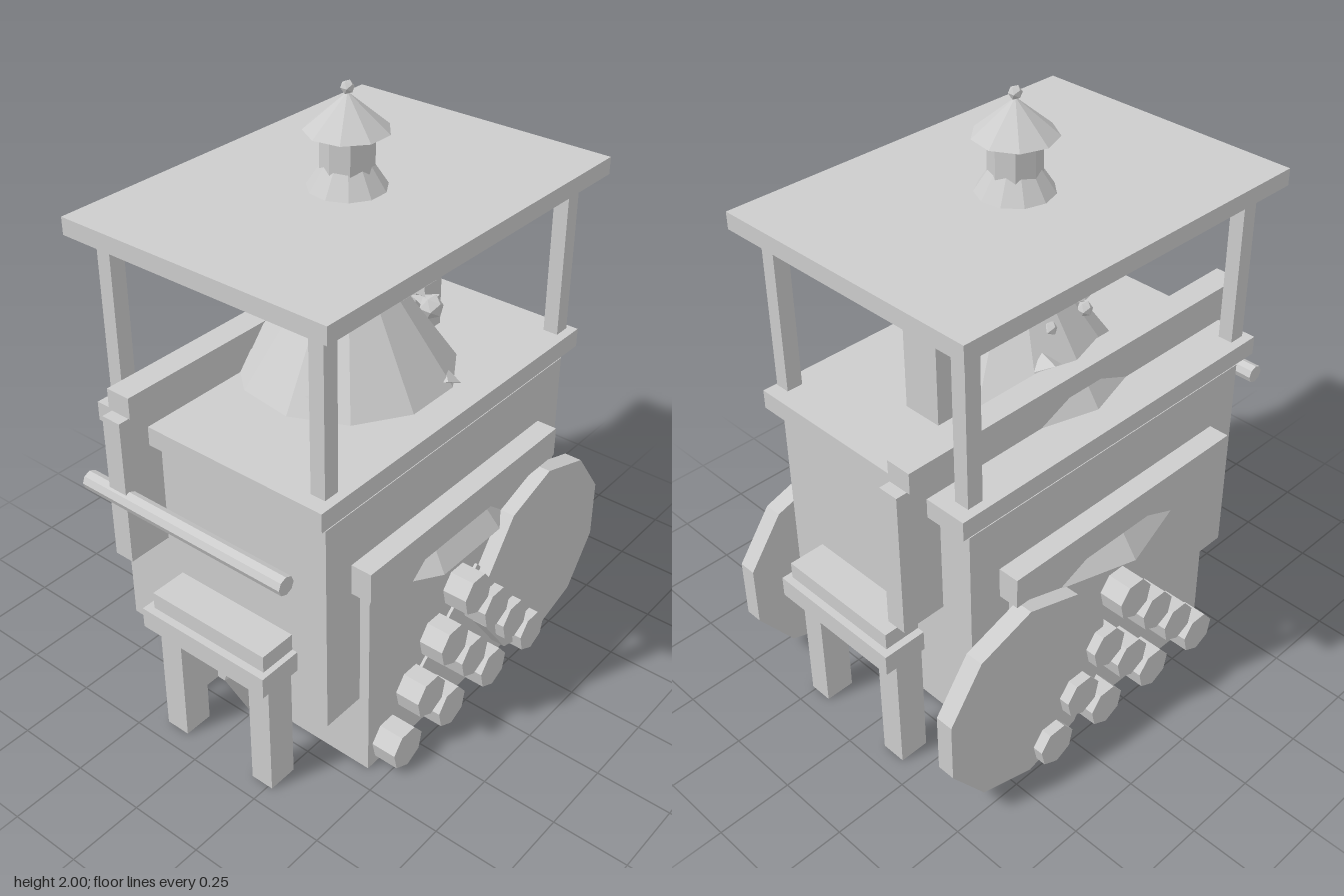
import * as THREE from 'three';

export function createModel() {
  const group = new THREE.Group();
  const grey = new THREE.MeshStandardMaterial({ color: 0xcccccc, flatShading: true });
  grey.name = 'grey';

  const add = (name, geometry, x = 0, y = 0, z = 0) => {
    const mesh = new THREE.Mesh(geometry, grey);
    mesh.name = name;
    mesh.position.set(x, y, z);
    group.add(mesh);
    return mesh;
  };
  // box from its lower and upper limits on each axis
  const box = (name, x0, x1, y0, y1, z0, z1) =>
    add(name, new THREE.BoxGeometry(x1 - x0, y1 - y0, z1 - z0),
      (x0 + x1) / 2, (y0 + y1) / 2, (z0 + z1) / 2);
  // prism lying along z
  const prism = (name, r, length, sides, x, y, z) =>
    add(name, new THREE.CylinderGeometry(r, r, length, sides).rotateX(Math.PI / 2), x, y, z);

  // Stall body, base, counter and roof
  box('base', -0.435, 0.435, 0, 0.71, -0.44, 0.44);
  box('body', -0.585, 0.585, 0.275, 0.997, -0.405, 0.405);
  box('counterSupport', -0.48, 0.48, 1.012, 1.035, -0.35, 0.35);
  box('counter', -0.63, 0.63, 1.03, 1.093, -0.43, 0.43);
  box('roof', -0.652, 0.652, 1.63, 1.685, -0.473, 0.473);
  for (const sx of [-1, 1]) for (const sz of [-1, 1]) {
    const x = sx * 0.565, z = sz * 0.385;
    box('roofPost', x - 0.027, x + 0.027, 1.105, 1.64, z - 0.025, z + 0.025);
  }

  // Tall cross panel with its cap, and the chimney
  box('crossPanel', -0.735, 0.735, 0.667, 1.155, -0.288, -0.22);
  box('panelCap', -0.698, 0.698, 1.155, 1.224, -0.3, -0.215);
  box('chimney', 0.25, 0.383, 1.0, 1.437, -0.068, 0.068);

  // Front and back: ledge, large disc
  for (const s of [-1, 1]) {
    const z = s * 0.44;
    box('ledge', -0.475, 0.472, 0.71, 0.813, z - 0.035, z + 0.035);
    prism('disc', 0.338, 0.06, 10, 0.43, 0.338, s * 0.46);
  }

  // Pyramid of logs running through the base
  for (let row = 0; row < 4; row++) {
    for (let i = 0; i < 4 - row; i++) {
      prism('log', 0.071, 1.05, 7, (i - (3 - row) / 2) * 0.23, 0.073 + row * 0.129, 0);
    }
  }
  // Slanted bar between the logs
  add('slantedBar', new THREE.BoxGeometry(0.46, 0.08, 0.03), -0.05, 0.3, 0.435).rotation.z = 0.7;

  // Pole on the right side
  prism('pole', 0.03, 0.77, 8, -0.722, 0.885, -0.003);

  // Side tables with legs and a pointed leaf between them
  for (const s of [-1, 1]) {
    const side = (name, a, b, y0, y1, z0, z1) =>
      box(name, Math.min(s * a, s * b), Math.max(s * a, s * b), y0, y1, z0, z1);
    side('tableTop', 0.43, 0.735, 0.43, 0.5, -0.195, 0.292);
    side('tableBoard', 0.43, 0.71, 0.5, 0.557, -0.17, 0.273);
    side('tableLeg', 0.585, 0.685, 0, 0.43, 0.185, 0.265);
    side('tableLeg', 0.585, 0.685, 0, 0.43, -0.18, -0.095);
    const leaf = add('leaf', new THREE.OctahedronGeometry(1), s * 0.5, 0.225, 0);
    leaf.scale.set(0.1, 0.2, 0.033);
  }
  // Small bracket on the right side
  box('bracketFoot', -0.59, -0.42, 0, 0.078, -0.245, -0.2);
  box('bracketTop', -0.585, -0.42, 0.21, 0.28, -0.24, -0.2);
  box('bracketPost', -0.53, -0.455, 0.07, 0.22, -0.24, -0.2);

  // Tree: trunk and stacked cones (radius, base height, cone height, sides)
  add('trunk', new THREE.CylinderGeometry(0.08, 0.08, 1.3, 8), 0, 1.22, 0);
  const tiers = [[0.515, 0.615, 0.72, 11], [0.385, 1.03, 0.56, 11],
    [0.278, 1.44, 0.43, 11], [0.127, 1.855, 0.11, 9]];
  for (const [r, y, h, n] of tiers) {
    add('treeTier', new THREE.ConeGeometry(r, h, n), 0, y + h / 2, 0).rotation.y = Math.PI;
  }
  add('treeBall', new THREE.IcosahedronGeometry(0.021), 0, 1.978, 0);

  // Baubles and leaf tufts (x, y, z, size)
  const baubles = [[0.22, 1.25, 0.15, 0.04], [0.03, 1.31, -0.17, 0.025], [-0.12, 1.31, -0.17, 0.025],
    [0.1, 1.53, -0.2, 0.018], [-0.16, 1.53, 0.14, 0.015]];
  for (const [x, y, z, r] of baubles) add('bauble', new THREE.IcosahedronGeometry(r), x, y, z);
  const tufts = [[0.27, 1.235, 0.09], [-0.19, 1.62, -0.05], [-0.14, 1.345, 0.12],
    [0.14, 1.345, 0.14], [0.1, 1.25, -0.23], [-0.27, 1.15, 0.12], [0.1, 1.11, 0.3]];
  tufts.forEach(([x, y, z], i) => {
    const tuft = add('tuft', new THREE.TetrahedronGeometry(0.055), x, y, z);
    tuft.scale.y = 0.5;
    tuft.rotation.y = i * 1.3;
  });

  return group;
}
